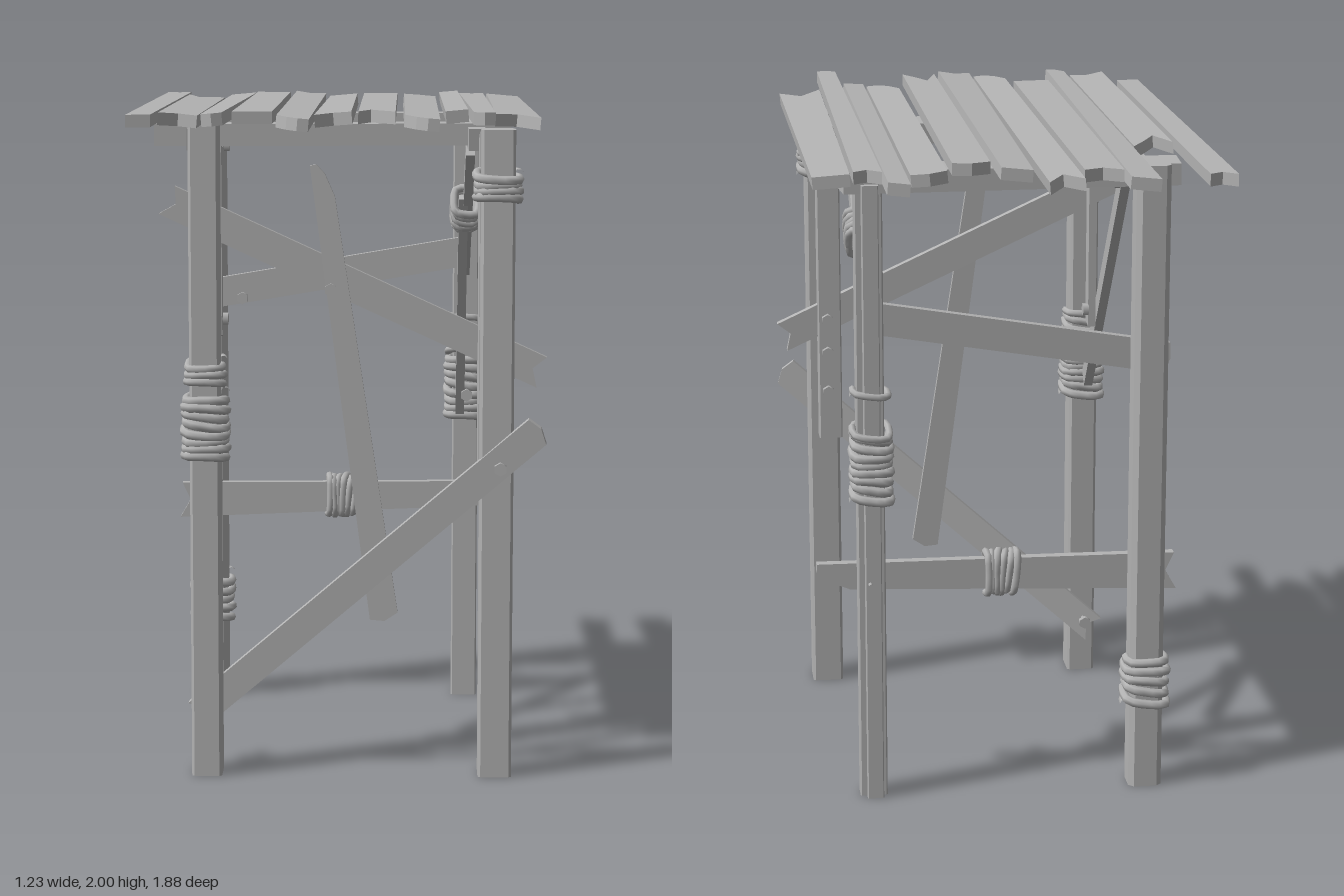
import * as THREE from 'three';

const V = (x, y, z) => new THREE.Vector3(x, y, z);

export function createModel() {
  const group = new THREE.Group();
  const wood = new THREE.MeshStandardMaterial({ color: 0xb4b4b4 });
  wood.name = 'weatheredGrey';

  const add = (name, geo) => {
    const mesh = new THREE.Mesh(geo, wood);
    mesh.name = name;
    group.add(mesh);
    return mesh;
  };

  // Broken board ends: how far the end is bitten in, across the width
  const flat = [0, 0.01], worn = [0.02, 0, 0.01], nick = [0, 0.035, 0.01], vee = [0, 0.09, 0];
  const bite = [0, 0.13, 0.06, 0], slant = [0.1, 0.03, 0, 0];

  // Board from a to b; n is the direction of its thickness
  function board(name, a, b, n, w0, t, cut0 = flat, cut1 = flat, w1 = w0) {
    const dir = b.clone().sub(a), L = dir.length();
    dir.normalize();
    const nz = n.clone().addScaledVector(dir, -n.dot(dir)).normalize();
    const side = nz.clone().cross(dir);
    const pts = cut1.map((c, i) => new THREE.Vector2(L - c, w1 * (i / (cut1.length - 1) - 0.5)));
    [...cut0].reverse().forEach((c, i) => pts.push(new THREE.Vector2(c, w0 * (0.5 - i / (cut0.length - 1)))));
    const geo = new THREE.ExtrudeGeometry(new THREE.Shape(pts), { depth: t, bevelEnabled: false });
    geo.translate(0, 0, -t / 2);
    geo.applyMatrix4(new THREE.Matrix4().makeBasis(dir, side, nz).setPosition(a));
    add(name, geo);
  }

  // Upright with slightly chamfered corners
  function post(name, x0, x1, z0, z1, y0, y1, c = 0.008) {
    const w = (x1 - x0) / 2, d = (z1 - z0) / 2;
    const s = new THREE.Shape();
    s.moveTo(w - c, -d).lineTo(w, c - d).lineTo(w, d - c).lineTo(w - c, d);
    s.lineTo(c - w, d).lineTo(-w, d - c).lineTo(-w, c - d).lineTo(c - w, -d);
    const geo = new THREE.ExtrudeGeometry(s, { depth: y1 - y0, bevelEnabled: false });
    geo.rotateX(-Math.PI / 2).translate((x0 + x1) / 2, y0, (z0 + z1) / 2);
    add(name, geo);
  }

  // Rope coiled round a squarish section, centred on c, running along axis
  function rope(name, c, axis, len, ru, rv, turns, r = 0.014) {
    const pts = [], N = turns * 16;
    for (let i = 0; i <= N; i++) {
      const turn = i / 16, a = turn * Math.PI * 2;
      const k = (1 + 0.05 * Math.sin(turn * 2.3)) / Math.pow(Math.cos(a) ** 4 + Math.sin(a) ** 4, 0.25);
      pts.push(V(Math.cos(a) * k * ru, (i / N - 0.5) * len + 0.006 * Math.sin(a + turn), Math.sin(a) * k * rv));
    }
    const coil = add(name, new THREE.TubeGeometry(new THREE.CatmullRomCurve3(pts), N, r, 7));
    coil.position.copy(c);
    coil.quaternion.setFromUnitVectors(V(0, 1, 0), axis.clone().normalize());
  }

  // Nail: thin shank with a broad head at p, head facing dir
  function nail(p, dir, len = 0.07) {
    const g = new THREE.Group();
    g.name = 'nail';
    const head = new THREE.Mesh(new THREE.CylinderGeometry(0.02, 0.02, 0.018, 6), wood);
    const shank = new THREE.Mesh(new THREE.CylinderGeometry(0.007, 0.007, len, 6), wood);
    head.name = 'nailHead';
    shank.name = 'nailShank';
    shank.position.y = -len / 2;
    g.add(head, shank);
    g.position.copy(p);
    g.quaternion.setFromUnitVectors(V(0, 1, 0), dir);
    group.add(g);
  }

  const X = V(1, 0, 0), Y = V(0, 1, 0), Z = V(0, 0, 1);

  // Legs and the short splints beside them
  post('frontLeftLeg', 0.41, 0.51, 0.48, 0.585, 0, 1.93);
  post('frontRightLeg', -0.445, -0.355, 0.48, 0.585, 0, 1.945);
  post('backLeftLeg', 0.347, 0.43, -0.51, -0.455, 0, 1.93, 0.004);
  post('backLeftLegStrip', 0.36, 0.41, -0.535, -0.51, 0, 1.9, 0.003);
  post('backRightLeg', -0.497, -0.395, -0.54, -0.44, 0, 1.94, 0.016);
  post('frontSplint', 0.405, 0.48, 0.42, 0.48, 0.87, 1.92, 0.004);
  post('backSplint', -0.487, -0.42, -0.44, -0.375, 0.87, 1.92, 0.004);

  // Frame under the top
  board('frontBeam', V(-0.56, 1.905, 0.335), V(0.5, 1.905, 0.285), Y, 0.13, 0.065);
  board('backBeam', V(-0.54, 1.905, -0.43), V(0.47, 1.905, -0.45), Y, 0.13, 0.065);
  for (const x of [-0.43, 0.4])
    board('sideBeam', V(x, 1.895, -0.44), V(x, 1.895, 0.48), X, 0.065, 0.05);

  // Top planks, each rolled and dipped a little differently
  let count = 0;
  function plank(x, zBack, zFront, wBack, wFront, cutBack, cutFront) {
    const i = count++;
    const y = 1.968 + 0.005 * Math.sin(i * 2.4), dip = 0.009 * Math.sin(i * 1.9 + 4);
    board('topPlank', V(x, y, zBack), V(x, y + dip, zFront), V(0.1 * Math.sin(i * 2.1), 1, 0),
      wBack, 0.036, cutBack, cutFront, wFront);
  }
  plank(-0.576, -0.91, 0.735, 0.078, 0.07, nick, flat);
  plank(-0.455, -0.46, 0.84, 0.115, 0.11, bite, nick);
  plank(-0.355, -0.915, 0.9, 0.085, 0.06, flat, worn);
  plank(-0.251, -0.83, 0.71, 0.11, 0.115, nick, flat);
  plank(-0.131, -0.94, 0.89, 0.1, 0.095, vee, slant);
  plank(-0.014, -0.755, 0.89, 0.09, 0.105, flat, nick);
  plank(0.108, -0.695, 0.84, 0.11, 0.105, worn, bite);
  plank(0.236, -0.785, 0.765, 0.105, 0.1, worn, slant);
  plank(0.337, -0.945, 0.695, 0.062, 0.065, flat, flat);
  plank(0.409, -0.775, 0.935, 0.08, 0.06, nick, worn);
  plank(0.512, -0.785, 0.66, 0.105, 0.13, flat, vee);

  // Front braces
  board('frontLowBrace', V(-0.44, 0.155, 0.45), V(0.59, 1.06, 0.605), Z, 0.09, 0.03, nick, worn);
  board('frontHighBrace', V(-0.52, 1.72, 0.462), V(0.6, 1.205, 0.458), Z, 0.095, 0.028, nick, nick);
  board('leaningSlat', V(0.13, 0.46, 0.5), V(-0.062, 1.825, 0.485), Z, 0.085, 0.022, worn, slant, 0.06);

  // Back braces
  board('backHighBrace', V(-0.52, 1.335, -0.425), V(0.4, 1.49, -0.435), Z, 0.095, 0.028, worn, flat);
  board('backLowBrace', V(-0.55, 0.665, -0.425), V(0.55, 0.69, -0.435), Z, 0.115, 0.03, nick, slant, 0.08);

  // Side braces
  board('rightDiagonalBrace', V(-0.405, 1.04, 0.43), V(-0.405, 1.87, -0.27), X, 0.055, 0.028);
  board('rightUprightSlat', V(-0.38, 1.28, 0.213), V(-0.38, 1.88, 0.213), X, 0.055, 0.025);
  board('leftUpperBrace', V(0.385, 1.86, 0.25), V(0.385, 1.435, -0.4), X, 0.052, 0.028);
  board('leftLowerBrace', V(0.37, 1.7, -0.01), V(0.37, 0.97, -0.4), X, 0.052, 0.028);

  // Rope bindings
  rope('frontLeftLegRope', V(0.46, 1.765, 0.533), Y, 0.08, 0.06, 0.062, 4);
  rope('frontRightLegRope', V(-0.4, 1.055, 0.533), Y, 0.19, 0.059, 0.066, 8);
  rope('frontRightLegLooseRope', V(-0.4, 1.215, 0.533), Y, 0.07, 0.052, 0.06, 3, 0.012);
  rope('backLeftLegRope', V(0.385, 1.04, -0.487), Y, 0.21, 0.053, 0.053, 8);
  rope('backLeftLegLooseRope', V(0.387, 1.155, -0.487), V(0, 1, -0.2), 0.02, 0.053, 0.056, 1, 0.011);
  rope('backLeftLegUpperRope', V(0.387, 1.27, -0.487), Y, 0.02, 0.05, 0.045, 1, 0.011);
  rope('backRightLegRope', V(-0.447, 0.335, -0.49), Y, 0.16, 0.061, 0.061, 5);
  rope('lowBraceRope', V(-0.012, 0.68, -0.43), X, 0.1, 0.062, 0.032, 6, 0.012);
  rope('sideBraceRope', V(0.378, 1.655, -0.035), V(0, -0.55, -0.83), 0.12, 0.036, 0.045, 5, 0.013);

  // Nails
  const back = V(0, 0, -1);
  nail(V(0.47, 0.94, 0.625), Z, 0.1);
  nail(V(-0.4, 0.2, 0.395), back, 0.12);
  nail(V(-0.03, 1.455, 0.5), Z, 0.04);
  for (const y of [1.03, 1.16, 1.27]) nail(V(0.45, y, 0.405), back);
  nail(V(0.395, 0.69, -0.395), Z, 0.16);
  nail(V(-0.45, 0.69, -0.395), Z);
  nail(V(-0.34, 1.335, -0.4), Z, 0.04);
  nail(V(0.39, 1.03, -0.31), Z, 0.1);
  nail(V(-0.36, 1.335, 0.195), X, 0.05);
  nail(V(-0.38, 1.84, -0.26), X, 0.05);
  return group;
}
